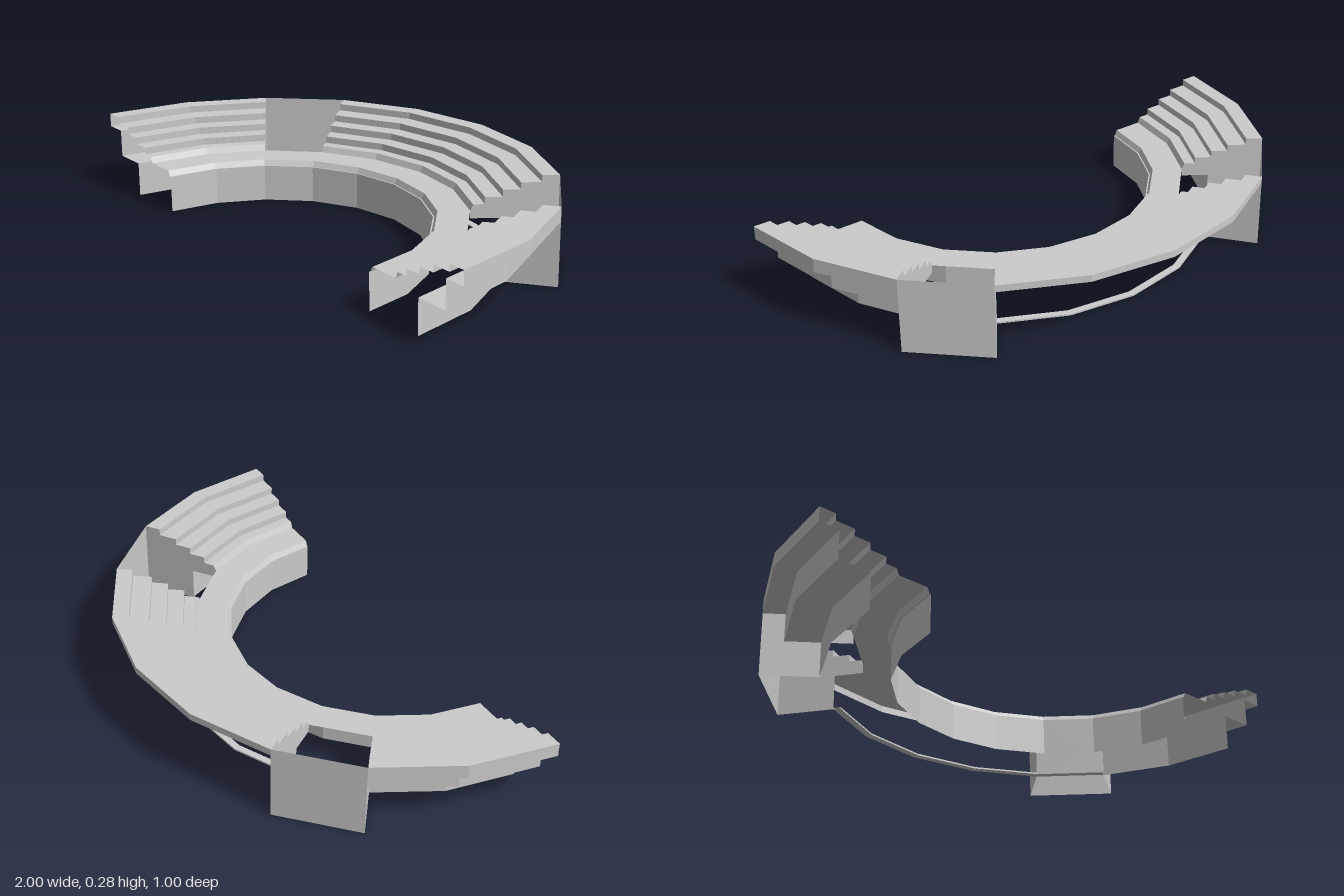
import * as THREE from 'three';

const STEP = Math.PI / 10; // each facet spans 18 degrees
const material = new THREE.MeshStandardMaterial({ color: 0xcccccc, flatShading: true, side: THREE.DoubleSide });

// Stepped seating from the outer lip down to the front row: [radius, height]
const seats = [
  [1, 0.275], [0.94, 0.275], [0.94, 0.25], [0.87, 0.25], [0.87, 0.225], [0.81, 0.225],
  [0.81, 0.2], [0.75, 0.2], [0.75, 0.175], [0.71, 0.175], [0.7, 0.153],
];
const walkway = [[0.7, 0.153], [0.59, 0.153], [0.58, 0.133], [0.575, 0.133], [0.575, 0]];
const wingBack = [[0.805, 0], [0.805, 0.125], [0.925, 0.125], [0.925, 0.225], [1, 0.225], [1, 0.275]];
const backLip = [[1, 0.25], [1, 0.275]];
const gapPanel = [[1, 0], [1, 0.275]];
const footing = [[0.775, 0.006], [0.8, 0.006], [0.8, 0], [0.775, 0], [0.775, 0.006]];

const toPoints = (list) => list.map(([r, y]) => new THREE.Vector2(r, y));

// Sweeps a profile between two facet numbers; 0 is the middle of the back, + is towards +x
function sweep(name, profile, from, to) {
  const lathe = new THREE.LatheGeometry(toPoints(profile), to - from, Math.PI - to * STEP, (to - from) * STEP);
  const geometry = lathe.toNonIndexed();
  geometry.computeVertexNormals();
  const mesh = new THREE.Mesh(geometry, material);
  mesh.name = name;
  return mesh;
}

// Upright wall closing the side of a seating block along a radius
function sideWall(name, facet) {
  const outline = [...seats, [0.7, 0.125], [0.8, 0.125], [0.8, 0], [1, 0]];
  const mesh = new THREE.Mesh(new THREE.ShapeGeometry(new THREE.Shape(toPoints(outline))), material);
  mesh.rotation.y = Math.PI / 2 - facet * STEP;
  mesh.name = name;
  return mesh;
}

export function createModel() {
  const model = new THREE.Group();
  model.name = 'amphitheatre';
  const ring = new THREE.Group();
  ring.name = 'seatingRing';
  ring.position.z = 0.5;
  model.add(ring);

  // Continuous front walkway with its inner wall
  ring.add(sweep('walkway', walkway, -5, 5));

  // Back block: open underneath, with a thin footing strip
  ring.add(sweep('backSeats', seats, -2, 2));
  ring.add(sweep('backLip', backLip, -2, 2));
  ring.add(sweep('footingStrip', footing, -2, 3));

  // Side wings and the walled entrances between the blocks
  for (const [side, s] of [['left', 1], ['right', -1]]) {
    const span = (a, b) => (s > 0 ? [a, b] : [-b, -a]);
    ring.add(sweep(side + 'WingSeats', seats, ...span(3, 5)));
    ring.add(sweep(side + 'WingBack', wingBack, ...span(3, 5)));
    ring.add(sweep(side + 'EntrancePanel', gapPanel, ...span(2, 3)));
    ring.add(sideWall(side + 'BackBlockSide', s * 2));
    ring.add(sideWall(side + 'WingSide', s * 3));
  }
  return model;
}
